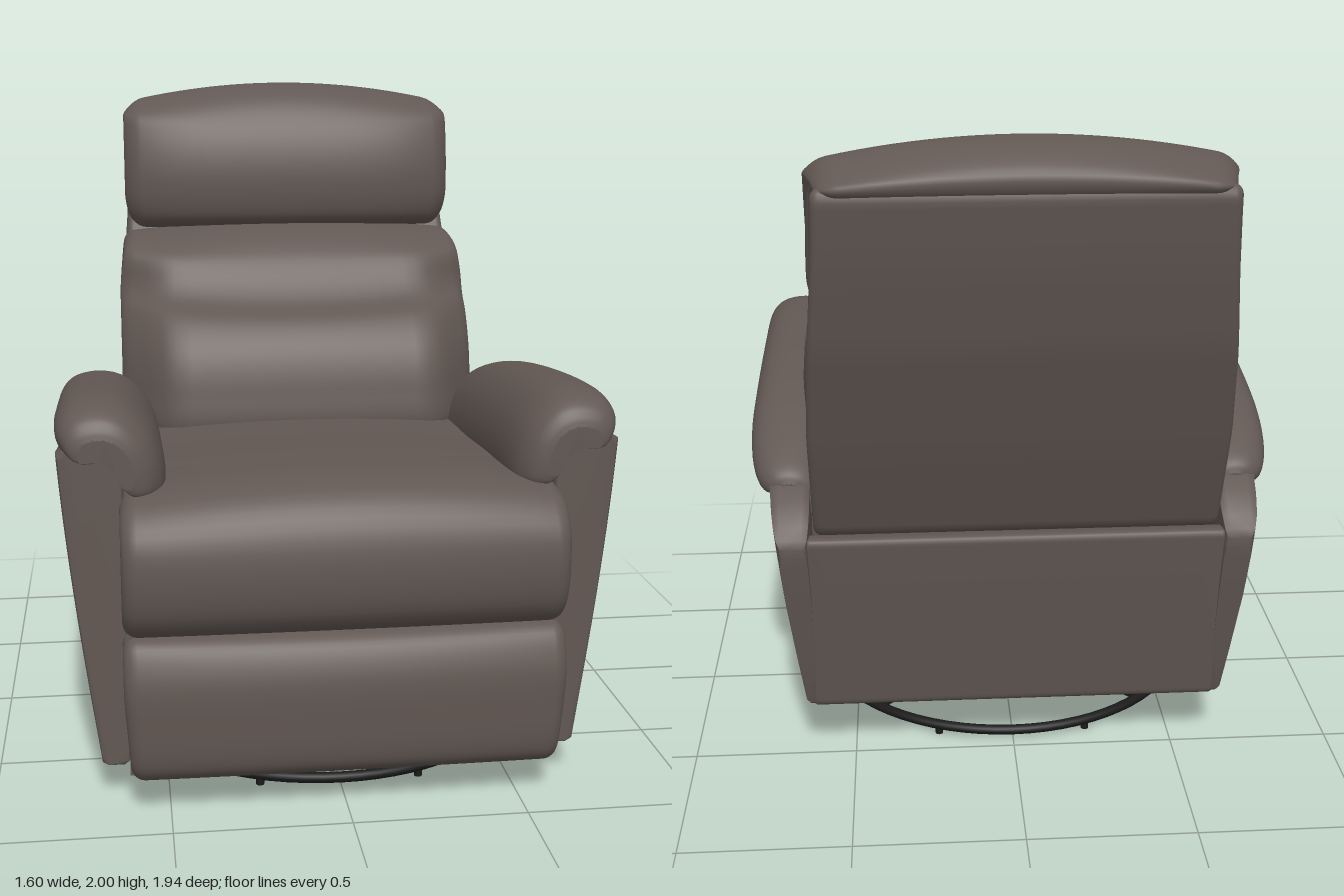
import * as THREE from 'three';

const leather = new THREE.MeshStandardMaterial({ color: 0x625853 });
leather.name = 'brown leather';
const steel = new THREE.MeshStandardMaterial({ color: 0x1a1a1a });
steel.name = 'black steel';

// Closed smooth outline through a few points, always counter-clockwise
function smoothOutline(points, count = 80) {
  const curve = new THREE.CatmullRomCurve3(points.map(([u, v]) => new THREE.Vector3(u, v, 0)), true);
  const out = curve.getSpacedPoints(count).slice(0, -1).map(p => new THREE.Vector2(p.x, p.y));
  return THREE.ShapeUtils.isClockWise(out) ? out.reverse() : out;
}

// Polygon outline with rounded corners
function roundedOutline(points, r) {
  const out = [], n = points.length;
  const P = points.map(([u, v]) => new THREE.Vector2(u, v));
  P.forEach((p, i) => {
    const toward = q => p.clone().add(q.clone().sub(p).setLength(Math.min(r, q.distanceTo(p) * 0.45)));
    const arc = new THREE.QuadraticBezierCurve(toward(P[(i + n - 1) % n]), p, toward(P[(i + 1) % n]));
    out.push(...arc.getPoints(6));
  });
  return THREE.ShapeUtils.isClockWise(out) ? out.reverse() : out;
}

// Skin a row of outlines, with both ends capped
function loft(outlines, place) {
  const n = outlines[0].length, pos = [], index = [];
  outlines.forEach((o, k) => o.forEach(p => pos.push(...place(p, k))));
  for (let k = 0; k < outlines.length - 1; k++) {
    for (let i = 0; i < n; i++) {
      const a = k * n + i, b = k * n + (i + 1) % n;
      index.push(a, b, b + n, a, b + n, a + n);
    }
  }
  const last = (outlines.length - 1) * n;
  for (const [a, b, c] of THREE.ShapeUtils.triangulateShape(outlines[0], [])) index.push(a, c, b);
  for (const [a, b, c] of THREE.ShapeUtils.triangulateShape(outlines[outlines.length - 1], [])) {
    index.push(last + a, last + b, last + c);
  }
  const g = new THREE.BufferGeometry();
  g.setAttribute('position', new THREE.Float32BufferAttribute(pos, 3));
  g.setIndex(index);
  g.computeVertexNormals();
  return g;
}

// Side outline (z, y) stretched across x with rounded ends; deform reshapes it
function cushion(outline, w, r, deform = (x, y, z) => [x, y, z]) {
  const n = outline.length;
  const inward = outline.map((p, i) => {
    const d = outline[(i + 1) % n].clone().sub(outline[(i + n - 1) % n]).normalize();
    return new THREE.Vector2(-d.y, d.x);
  });
  const stations = [];
  for (let i = 6; i >= 0; i--) {
    const a = i / 6 * Math.PI / 2;
    stations.push([w - r + r * Math.sin(a), r * (1 - Math.cos(a))]);
  }
  for (let i = 1; i < 24; i++) stations.push([(w - r) * (1 - i / 12), 0]);
  for (let i = 0; i <= 6; i++) stations.push([-stations[6 - i][0], stations[6 - i][1]]);
  const outlines = stations.map(([, inset]) => outline.map((p, i) => p.clone().addScaledVector(inward[i], inset)));
  return loft(outlines, (p, k) => deform(stations[k][0], p.y, p.x));
}

function mirrored(geometry) {
  const g = geometry.clone().scale(-1, 1, 1);
  const ix = g.index.array;
  for (let i = 0; i < ix.length; i += 3) [ix[i], ix[i + 1]] = [ix[i + 1], ix[i]];
  return g;
}

// Arm panel: sections along z, bowing slightly outward toward the top
function armPanel() {
  const section = [[0.8, 0], [1, 0.012]];
  for (let i = 0; i <= 14; i++) section.push([1, 0.03 + 0.94 * i / 14]);
  section.push([1, 0.988], [0.8, 1]);
  const outline = [...section, ...section.map(([u, v]) => [1 - u, 1 - v])].map(p => new THREE.Vector2(...p));
  // Stations are (z, bottom, top, edge inset)
  const rows = [[-0.632, 0.74, 0.765, 0.3], [-0.627, 0.7, 0.79, 0.12], [-0.6, 0.56, 0.825, 0.03],
    [-0.56, 0.36, 0.857, 0], [-0.53, 0.2, 0.878, 0], [-0.5, 0.178, 0.893, 0], [-0.45, 0.168, 0.92, 0],
    [-0.25, 0.135, 0.95, 0], [0, 0.1, 0.975, 0], [0.4, 0.1, 1.01, 0], [0.74, 0.1, 1.035, 0],
    [0.762, 0.1, 1.035, 0.02], [0.77, 0.105, 1.03, 0.1]];
  return loft(rows.map(() => outline), (p, k) => {
    const [z, low, high, inset] = rows[k];
    const y = low + p.y * (high - low), t = (y - 0.1) / 0.9;
    const outer = 0.69 + 0.066 * t + 0.04 * Math.sin(t * Math.PI / 2) - 0.065 * (0.77 - z) / 1.4;
    const u = 0.5 + (p.x - 0.5) * (1 - inset);
    return [0.612 + u * (outer - 0.612), y, z];
  });
}

export function createModel() {
  const model = new THREE.Group();
  model.name = 'reclinerChair';
  const add = (name, geometry, material = leather, parent = model) => {
    const m = new THREE.Mesh(geometry, material);
    m.name = name;
    parent.add(m);
    return m;
  };
  const step = THREE.MathUtils.smoothstep;

  // Seat cushion with a crowned top and a bulging front
  const seat = smoothOutline([[0.77, 0.52], [0.87, 0.52], [0.94, 0.58], [0.97, 0.7], [0.95, 0.83], [0.88, 0.915],
    [0.77, 0.945], [0.5, 0.94], [0.2, 0.92], [-0.3, 0.88], [-0.45, 0.8], [-0.4, 0.56], [0.2, 0.52]], 110);
  add('seatCushion', cushion(seat, 0.625, 0.045, (x, y, z) => {
    const q = (x / 0.62) ** 2;
    return [x, y - 0.04 * q * step(y, 0.75, 0.95), z - 0.02 * q * step(z, 0.8, 0.97)];
  }));

  // Padded footrest, folded away, and the front board behind it
  const foot = smoothOutline([[0.77, 0.12], [0.87, 0.1], [0.93, 0.14], [0.955, 0.3], [0.95, 0.42],
    [0.91, 0.5], [0.86, 0.52], [0.77, 0.51]]);
  add('footrest', cushion(foot, 0.625, 0.04, (x, y, z) =>
    [x * (0.975 + 0.025 * step(y, 0.1, 0.4)), y, z - 0.02 * (x / 0.62) ** 2 * step(z, 0.85, 0.96)]));
  add('frontBoard', new THREE.BoxGeometry(1.225, 0.7, 0.11)).position.set(0, 0.46, 0.803);

  // Back shell
  const shell = roundedOutline([[-0.61, 0.78], [-0.74, 1.1], [-0.865, 1.44], [-0.925, 1.68], [-0.967, 1.9],
    [-0.84, 1.88], [-0.765, 1.8], [-0.72, 1.6], [-0.65, 1.43], [-0.5, 1.2], [-0.31, 0.96], [-0.35, 0.82]], 0.06);
  add('backShell', cushion(shell, 0.598, 0.025, (x, y, z) => [x * (1 - 0.08 * step(y, 1.1, 1.9)), y, z]));

  // Lumbar cushion, with a sagging crease and sides wrapping backward
  const lumbar = smoothOutline([[-0.68, 1.51], [-0.52, 1.49], [-0.41, 1.42], [-0.33, 1.31], [-0.285, 1.265],
    [-0.2, 1.22], [-0.13, 1.13], [-0.09, 1.0], [-0.09, 0.86], [-0.3, 0.84], [-0.5, 0.99],
    [-0.64, 1.22], [-0.75, 1.45]], 110);
  add('lumbarCushion', cushion(lumbar, 0.605, 0.04, (x, y, z) => {
    const q = (x / 0.6) ** 2, crease = Math.exp(-(((y - 1.28) / 0.1) ** 2)) * step(z, -0.5, -0.3);
    const wrap = 0.2 * step(Math.abs(x), 0.42, 0.64) * step(z, -0.6, -0.1);
    return [x * (1 - 0.03 * step(y, 1.25, 1.5)),
      y + 0.035 * q * crease - 0.03 * q * step(y, 1.4, 1.51), z - 0.035 * q * crease - wrap];
  }));

  // Headrest with an arched top and rounded front corners
  const head = smoothOutline([[-0.57, 1.53], [-0.54, 1.66], [-0.57, 1.82], [-0.66, 1.95], [-0.79, 2.0],
    [-0.9, 1.975], [-0.965, 1.92], [-0.95, 1.87], [-0.87, 1.83], [-0.81, 1.72], [-0.75, 1.53], [-0.64, 1.495]], 100);
  add('headrest', cushion(head, 0.58, 0.06, (x, y, z) => {
    const q = (x / 0.58) ** 2;
    return [x * (1 - 0.08 * step(-z, 0.7, 0.97)) * (1 - 0.03 * step(-y, -1.62, -1.49)),
      y - 0.065 * q * step(y, 1.85, 2.0), z - 0.07 * q * q * step(z, -0.75, -0.54)];
  }));

  // Lower rear panel between the arms
  const rear = roundedOutline([[-0.53, 0.18], [-0.48, 0.18], [-0.55, 0.78], [-0.63, 0.79]], 0.03);
  add('rearPanel', cushion(rear, 0.625, 0.015));

  // Arm panels
  const panel = armPanel();
  add('leftArmPanel', panel);
  add('rightArmPanel', mirrored(panel));

  // Arm pads rolling over the inner side; stations are (z, top height, swell)
  const padShape = smoothOutline([[0.785, -0.125], [0.8, -0.07], [0.765, -0.02], [0.68, 0], [0.6, -0.02],
    [0.53, -0.09], [0.495, -0.19], [0.5, -0.27], [0.55, -0.28], [0.6, -0.19], [0.66, -0.13]], 64);
  const padPath = new THREE.CatmullRomCurve3([[-0.48, 0.99, 0.2], [-0.465, 0.99, 0.5], [-0.42, 0.995, 0.75],
    [-0.33, 1.02, 0.92], [-0.2, 1.06, 1], [0, 1.105, 1], [0.4, 1.15, 1], [0.65, 1.16, 1], [0.73, 1.155, 0.95],
    [0.78, 1.145, 0.82], [0.803, 1.13, 0.67], [0.812, 1.12, 0.5]].map(p => new THREE.Vector3(...p))).getPoints(55);
  const pad = loft(padPath.map(() => padShape), (p, k) => {
    const { x: z, y: top, z: s } = padPath[k];
    return [0.67 + (p.x - 0.67) * s, top - 0.1 + (p.y + 0.1) * s, z];
  });
  add('leftArmPad', pad);
  add('rightArmPad', mirrored(pad));

  // Recline handle set into the right arm
  const handle = new THREE.Group();
  handle.name = 'reclineHandle';
  handle.position.set(-0.751, 0.72, 0.4);
  handle.rotation.set(0, -Math.PI / 2, 0.3);
  model.add(handle);
  add('handleRim', new THREE.TorusGeometry(0.062, 0.01, 8, 32).scale(1.45, 1, 1), steel, handle);
  add('handleCup', new THREE.CylinderGeometry(0.062, 0.062, 0.009, 32).rotateX(Math.PI / 2).scale(1.45, 1, 1), steel, handle);
  add('handleLever', new THREE.CapsuleGeometry(0.018, 0.06, 6, 12).rotateZ(Math.PI / 2), steel, handle).position.x = 0.02;

  // Swivel base: ring, crossed spokes, feet and centre plate
  const base = new THREE.Group();
  base.name = 'swivelBase';
  base.position.z = 0.16;
  model.add(base);
  add('baseRing', new THREE.TorusGeometry(0.615, 0.016, 10, 72).rotateX(Math.PI / 2), steel, base).position.y = 0.03;
  for (const a of [Math.PI / 4, -Math.PI / 4]) {
    const spoke = add('spoke', new THREE.BoxGeometry(1.22, 0.018, 0.045), steel, base);
    spoke.position.y = 0.035;
    spoke.rotation.y = a;
  }
  for (let i = 0; i < 8; i++) {
    const a = (i + 0.5) * Math.PI / 4;
    add('foot', new THREE.CylinderGeometry(0.012, 0.012, 0.02, 12), steel, base)
      .position.set(0.615 * Math.cos(a), 0.01, 0.615 * Math.sin(a));
  }
  add('swivelPlate', new THREE.BoxGeometry(0.46, 0.025, 0.54), steel, base).position.y = 0.058;
  add('swivelHub', new THREE.CylinderGeometry(0.08, 0.08, 0.03, 24), steel, base).position.y = 0.045;

  // Reclining linkage under the seat
  const bar = (name, a, b, t = 0.022) => {
    const from = new THREE.Vector3(...a), to = new THREE.Vector3(...b);
    const m = add(name, new THREE.BoxGeometry(t, t, from.distanceTo(to)), steel);
    m.position.copy(from).lerp(to, 0.5);
    m.lookAt(to);
  };
  for (const z of [-0.08, 0.4]) bar('crossRail', [-0.46, 0.09, z], [0.46, 0.09, z], 0.03);
  for (const s of [-1, 1]) {
    bar('baseRail', [s * 0.27, 0.09, -0.12], [s * 0.27, 0.09, 0.43], 0.03);
    bar('sideRail', [s * 0.46, 0.15, -0.12], [s * 0.46, 0.15, 0.6], 0.03);
    bar('rearLink', [s * 0.46, 0.1, -0.08], [s * 0.5, 0.55, -0.38]);
    bar('frontLink', [s * 0.46, 0.1, 0.4], [s * 0.5, 0.55, 0.1]);
    bar('footrestLink', [s * 0.48, 0.18, 0.35], [s * 0.48, 0.4, 0.74]);
  }
  return model;
}
